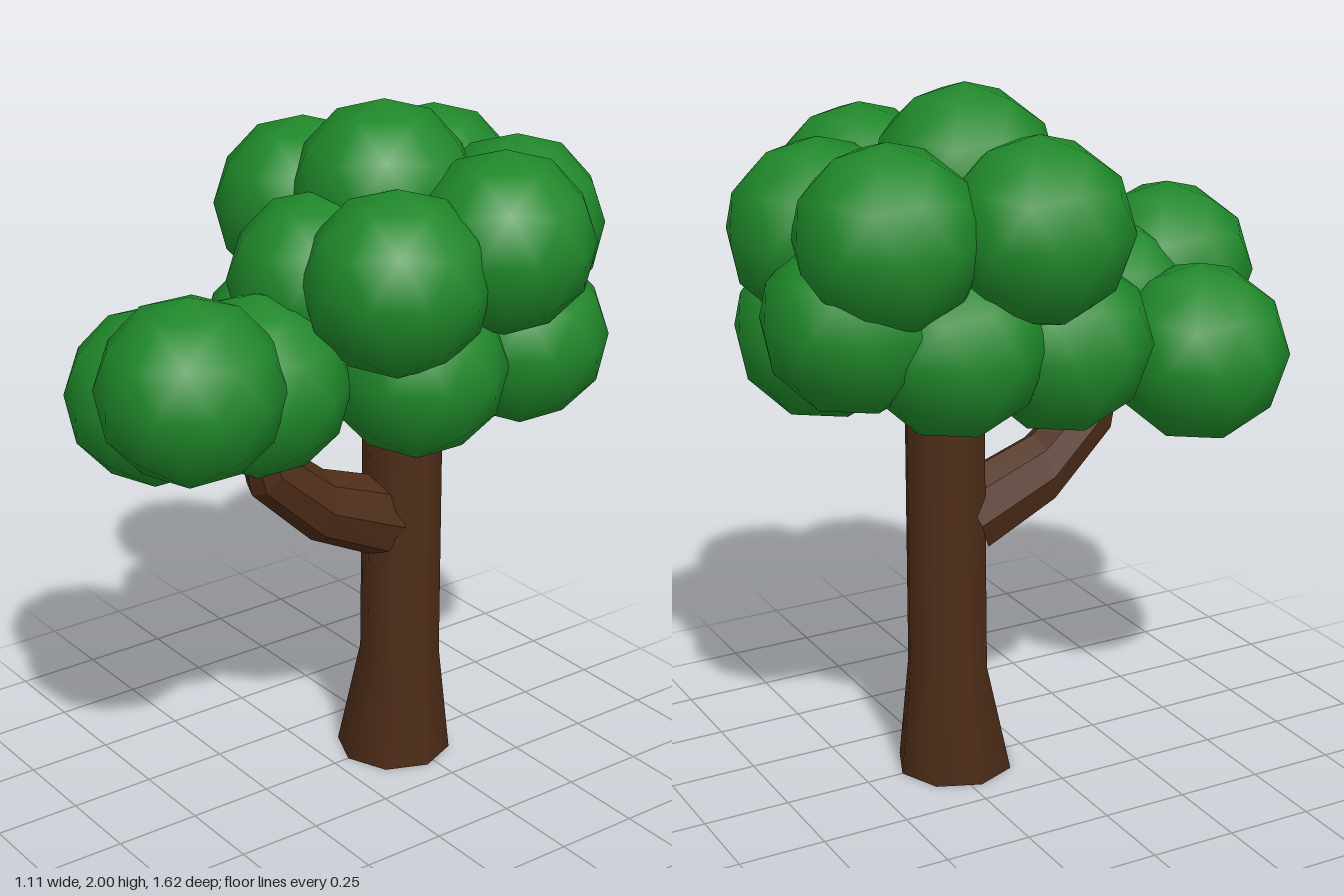
import * as THREE from 'three';

const bark = new THREE.MeshStandardMaterial({ color: 0x4f2d18 });
const barkFlat = new THREE.MeshStandardMaterial({ color: 0x4f2d18, flatShading: true });
const leaf = new THREE.MeshStandardMaterial({ color: 0x1f882a });

// Tapered sweep in the yz plane; each ring is [z, y, radius, tilt]
function limb(rings, sides) {
  const pos = [], idx = [];
  for (const [z, y, r, t] of rings) {
    for (let i = 0; i < sides; i++) {
      const a = (i / sides) * Math.PI * 2;
      const up = r * Math.cos(a);
      pos.push(0.85 * r * Math.sin(a), y + up * Math.cos(t), z - up * Math.sin(t));
    }
  }
  for (let j = 0; j < rings.length - 1; j++) {
    for (let i = 0; i < sides; i++) {
      const a = j * sides + i, b = j * sides + (i + 1) % sides;
      idx.push(a, a + sides, b, b, a + sides, b + sides);
    }
  }
  const g = new THREE.BufferGeometry();
  g.setAttribute('position', new THREE.Float32BufferAttribute(pos, 3));
  g.setIndex(idx);
  g.computeVertexNormals();
  return g;
}

export function createModel() {
  const tree = new THREE.Group();
  tree.name = 'tree';
  const add = (name, geometry, material, x = 0, y = 0, z = 0) => {
    const mesh = new THREE.Mesh(geometry, material);
    mesh.name = name;
    mesh.position.set(x, y, z);
    tree.add(mesh);
  };

  // Trunk: flared foot leaning slightly back into a straight stem
  const trunk = new THREE.CylinderGeometry(1, 1, 1, 8, 2);
  const p = trunk.attributes.position;
  const levels = [[0, 0.17, -0.22], [0.32, 0.119, -0.24], [1.4, 0.115, -0.24]];
  for (let i = 0; i < p.count; i++) {
    const [y, r, z] = levels[Math.round((p.getY(i) + 0.5) * 2)];
    p.setXYZ(i, p.getX(i) * r, y, p.getZ(i) * r + z);
  }
  add('trunk', trunk, bark);

  // Bough curving forward and up into the low foliage
  add('branch', limb([
    [-0.18, 0.765, 0.12, 0.42],
    [0.06, 0.865, 0.107, 0.2],
    [0.23, 1.015, 0.083, 0.65],
    [0.28, 1.22, 0.06, 1.25],
  ], 8), barkFlat, -0.005);

  // Foliage: equal low-poly balls with a vertex pointing straight up
  const ball = new THREE.IcosahedronGeometry(0.256, 1);
  ball.rotateX(-Math.atan2((1 + Math.sqrt(5)) / 2, 1));
  ball.rotateY(Math.PI / 2);
  const clumps = {
    frontFoliage: [[0.125, 1.365, 0.555], [-0.228, 1.217, 0.445], [0.06, 1.305, 0.3]],
    upperFoliage: [
      [-0.02, 1.745, -0.18], [-0.31, 1.65, -0.115], [-0.01, 1.53, 0.045], [0.277, 1.59, 0],
      [0.31, 1.65, -0.335], [-0.205, 1.65, -0.5], [0.1, 1.615, -0.556],
    ],
    lowerFoliage: [
      [-0.11, 1.42, -0.556], [0.185, 1.315, -0.51], [0.2, 1.305, -0.13],
      [-0.2, 1.34, -0.31], [-0.19, 1.3, 0.02],
    ],
  };
  for (const [name, spots] of Object.entries(clumps)) {
    spots.forEach((s, i) => add(name + (i + 1), ball, leaf, ...s));
  }
  return tree;
}
